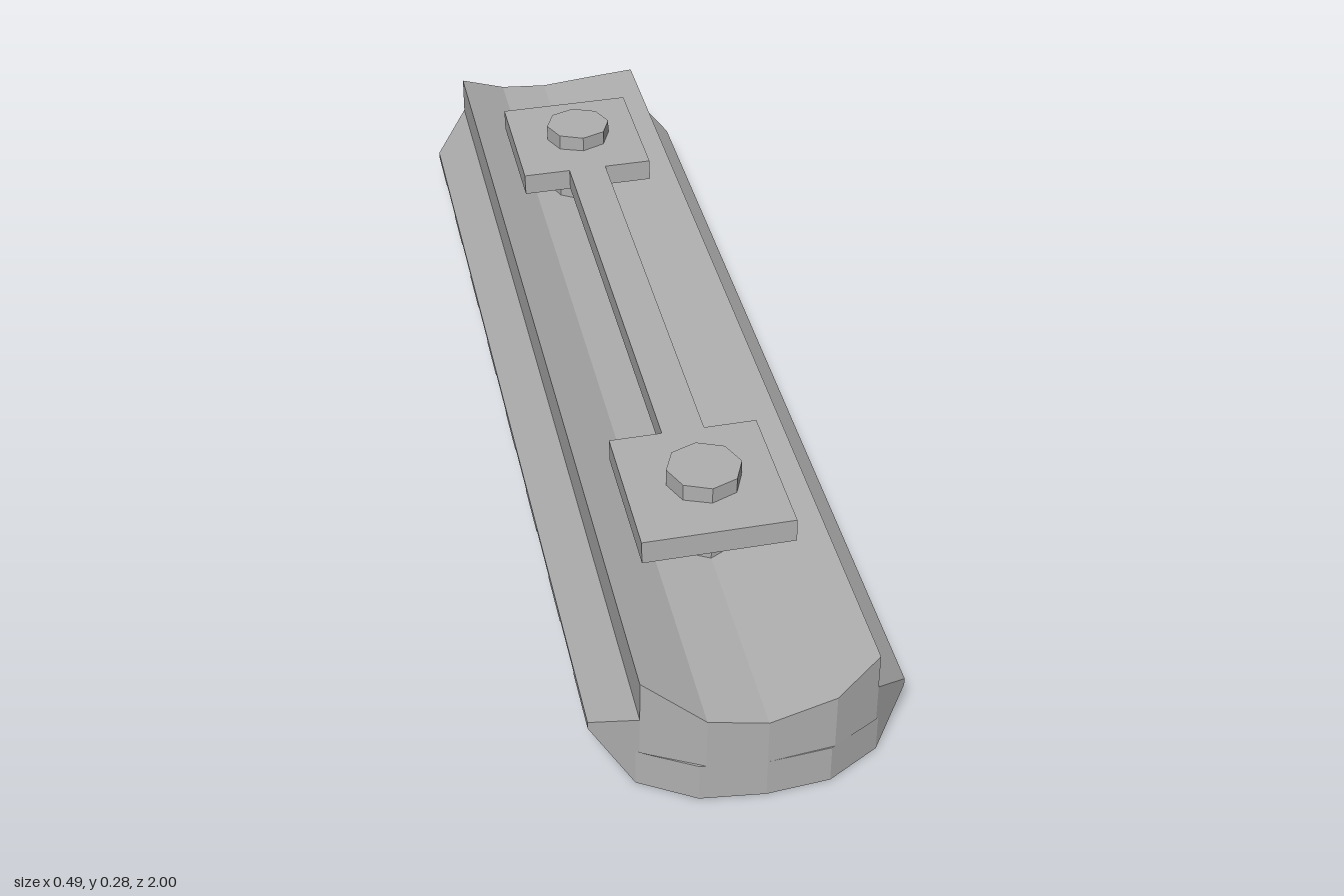
import * as THREE from 'three';

const steel = new THREE.MeshStandardMaterial({ color: 0xb0b0b0, side: THREE.DoubleSide, flatShading: true });
steel.name = 'grey metal';

const FLOOR = 0.065;          // height of the cross slots
const BOLT_Z = [-0.57, 0.56];

// Rounded plan outline: half length of the rail at a given x
const PLAN = [[0, 1], [0.1, 0.99], [0.18, 0.945], [0.245, 0.875]];
function halfLength(x) {
  const ax = Math.abs(x);
  let i = 0;
  while (i < PLAN.length - 2 && ax > PLAN[i + 1][0]) i++;
  const [a, b] = [PLAN[i], PLAN[i + 1]];
  return a[1] + (b[1] - a[1]) * (ax - a[0]) / (b[0] - a[0]);
}

// Joins rectangular sections [x, low y, high y, z0, z1] from -x to +x
function loft(sections, openBottom = false) {
  const pos = [];
  const rings = sections.map(([x, lo, hi, z0, z1]) => [[x, lo, z0], [x, hi, z0], [x, hi, z1], [x, lo, z1]]);
  const quad = (a, b, c, d) => [a, b, c, a, c, d].forEach(p => pos.push(...p));
  for (let i = 0; i < rings.length - 1; i++) {
    const a = rings[i], b = rings[i + 1];
    for (let k = 0; k < 4; k++) {
      if (k === 3 && openBottom) continue;
      if (k !== 1 && a[0][0] === b[0][0]) continue;
      const n = (k + 1) % 4;
      quad(a[k], a[n], b[n], b[k]);
    }
  }
  const [first, last] = [rings[0], rings[rings.length - 1]];
  quad(first[3], first[2], first[1], first[0]);
  quad(...last);
  const g = new THREE.BufferGeometry();
  g.setAttribute('position', new THREE.Float32BufferAttribute(pos, 3));
  g.computeVertexNormals();
  return g;
}

export function createModel() {
  const model = new THREE.Group();
  model.name = 'accessoryRail';
  const add = (name, geometry, parent = model) => {
    const mesh = new THREE.Mesh(geometry, steel);
    mesh.name = name;
    parent.add(mesh);
    return mesh;
  };

  // Upper body with side flanges and a hollowed top
  const top = [[-0.245, 0.072], [-0.18, 0.13], [-0.18, 0.2], [-0.09, 0.152], [0, 0.142],
    [0.105, 0.16], [0.18, 0.19], [0.18, 0.13], [0.245, 0.072]];
  add('railBody', loft(top.map(([x, y]) => [x, FLOOR, y, -halfLength(x), halfLength(x)]), true));

  // Underside, pierced by the bolt holes
  const xs = [-0.245, -0.18, -0.1, 0, 0.1, 0.18, 0.245];
  const outline = [...xs.map(x => new THREE.Vector2(x, -halfLength(x))),
    ...xs.slice().reverse().map(x => new THREE.Vector2(x, halfLength(x)))];
  const floor = new THREE.Shape(outline);
  for (const z of BOLT_Z) {
    floor.holes.push(new THREE.Path().absarc(0, z, 0.045, 0, Math.PI * 2, true));
    add('boltHoleWall', new THREE.CylinderGeometry(0.045, 0.045, 0.075, 24, 1, true).translate(0, FLOOR + 0.0375, z));
  }
  add('slotFloor', new THREE.ShapeGeometry(floor, 6).rotateX(Math.PI / 2).translate(0, FLOOR, 0));

  // Full width teeth; the outermost follow the rounded ends
  const toothX = [[-0.245, 0.06], [-0.185, 0], [-0.1, 0], [0, 0], [0.1, 0], [0.185, 0], [0.245, 0.06]];
  for (const s of [-1, 1]) {
    for (const c of [0.115, 0.345]) {
      add('tooth', loft(toothX.map(([x, y]) => [x, y, FLOOR, s * c - 0.055, s * c + 0.055])));
    }
    add('endTooth', loft(toothX.map(([x, y]) => {
      const z = halfLength(x);
      return s > 0 ? [x, y, FLOOR, 0.755, z] : [x, y, FLOOR, -z, -0.755];
    })));

    // Teeth parted by the round bolt recess
    const a = Math.asin(0.055 / 0.1);
    for (const side of [-1, 1]) {
      const block = new THREE.Shape();
      block.moveTo(side * 0.185, -0.055);
      for (let i = 0; i <= 8; i++) {
        const t = -a + (2 * a * i) / 8;
        block.lineTo(side * 0.1 * Math.cos(t), 0.1 * Math.sin(t));
      }
      block.lineTo(side * 0.185, 0.055);
      const g = new THREE.ExtrudeGeometry(block, { depth: FLOOR, bevelEnabled: false });
      add('partedTooth', g.rotateX(Math.PI / 2).translate(0, FLOOR, s * 0.575));
      const wedge = [[side * 0.185, 0], [side * 0.245, 0.06]].sort((p, q) => p[0] - q[0]);
      add('partedToothFlange', loft(wedge.map(([x, y]) => [x, y, FLOOR, s * 0.575 - 0.055, s * 0.575 + 0.055])));
    }
  }

  // Clamp plate: two square pads joined by a narrow bar, tilted slightly
  const half = [[0.122, 0.698], [0.122, 0.433], [0.035, 0.433], [0.035, -0.433], [0.122, -0.433], [0.122, -0.698]];
  const points = [...half, ...half.slice().reverse().map(([x, z]) => [-x, z])];
  const plate = new THREE.Shape(points.map(p => new THREE.Vector2(...p)));
  const clamp = add('clampPlate', new THREE.ExtrudeGeometry(plate, { depth: 0.04, bevelEnabled: false })
    .rotateX(Math.PI / 2).translate(0, 0.02, 0));
  clamp.position.set(-0.004, 0.232, -0.007);
  clamp.rotation.z = 0.025;

  // Eight sided bolts
  for (const z of BOLT_Z) {
    add('bolt', new THREE.CylinderGeometry(0.061, 0.061, 0.144, 8).translate(0, 0.208, z));
  }
  return model;
}
